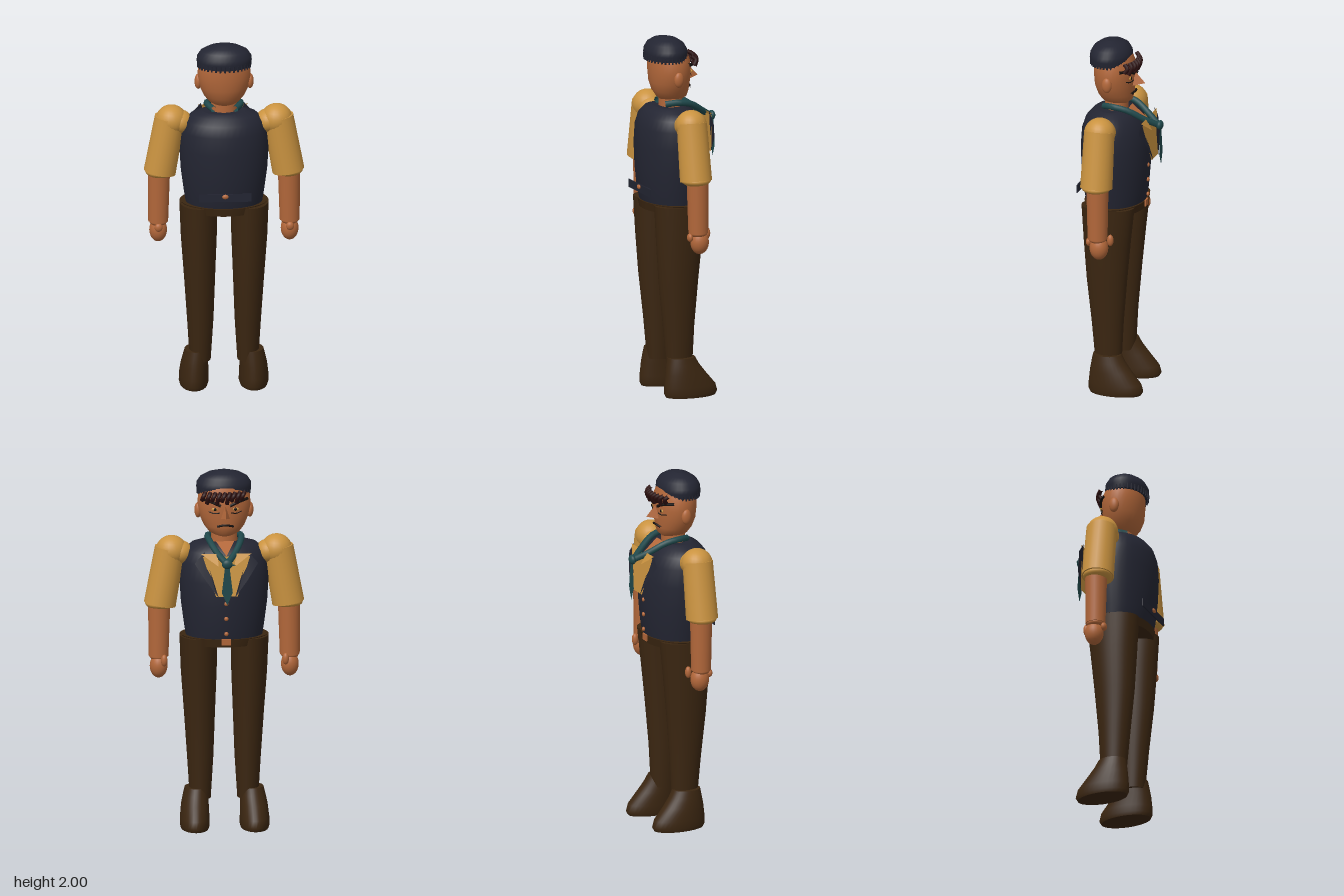
import * as THREE from 'three';

const mat = (name, color, side = THREE.FrontSide) => {
  const m = new THREE.MeshStandardMaterial({ color, side });
  m.name = name;
  return m;
};

export function createModel() {
  const root = new THREE.Group();
  root.name = 'standingMan';
  const navy = mat('navy cloth', 0x232532, THREE.DoubleSide);
  const gold = mat('gold shirt', 0xca9340, THREE.DoubleSide);
  const brown = mat('brown trousers', 0x3b2611);
  const skin = mat('skin', 0xb2673a, THREE.DoubleSide);
  const teal = mat('teal necktie', 0x1f484b, THREE.DoubleSide);
  const hair = mat('dark hair', 0x2c0f0f);
  const ink = mat('ink lines', 0x17110f);

  const add = (name, geo, material, pos = [0, 0, 0], parent = root) => {
    const m = new THREE.Mesh(geo, material);
    m.name = name;
    m.position.set(...pos);
    parent.add(m);
    return m;
  };

  // Solid through elliptical rings [y, centreX, centreZ, radiusX, radiusZ], bottom to top
  const loft = (rings, n = 32) => {
    const pos = [], idx = [];
    const ring = ([y, cx, cz, rx, rz]) => {
      for (let i = 0; i < n; i++) {
        const a = (i / n) * Math.PI * 2;
        pos.push(cx + rx * Math.cos(a), y, cz + rz * Math.sin(a));
      }
    };
    rings.forEach(ring);
    for (let k = 0; k < rings.length - 1; k++) {
      for (let i = 0; i < n; i++) {
        const a = k * n + i, b = k * n + ((i + 1) % n);
        idx.push(a, a + n, b, b, a + n, b + n);
      }
    }
    // flat end caps with their own vertices
    [rings[0], rings[rings.length - 1]].forEach((r, top) => {
      const s = pos.length / 3;
      ring(r);
      pos.push(r[1], r[0], r[2]);
      for (let i = 0; i < n; i++) {
        const j = (i + 1) % n;
        idx.push(s + n, s + (top ? j : i), s + (top ? i : j));
      }
    });
    const g = new THREE.BufferGeometry();
    g.setAttribute('position', new THREE.Float32BufferAttribute(pos, 3));
    g.setIndex(idx);
    g.computeVertexNormals();
    return g;
  };

  // Convex flat plate through a few corners
  const plate = (pts) => {
    const g = new THREE.BufferGeometry();
    g.setAttribute('position', new THREE.Float32BufferAttribute(pts.flat(), 3));
    const idx = [];
    for (let i = 1; i < pts.length - 1; i++) idx.push(0, i, i + 1);
    g.setIndex(idx);
    g.computeVertexNormals();
    return g;
  };

  const ball = (rx, ry, rz) => new THREE.SphereGeometry(1, 24, 16).scale(rx, ry, rz);
  const tube = (pts, r) => new THREE.TubeGeometry(
    new THREE.CatmullRomCurve3(pts.map((p) => new THREE.Vector3(...p))), 12, r, 8);
  const limb = (name, a, b, ra, rb, material) => {
    const A = new THREE.Vector3(...a), B = new THREE.Vector3(...b), d = B.clone().sub(A);
    const m = add(name, new THREE.CylinderGeometry(rb, ra, d.length(), 24), material,
      A.clone().add(B).multiplyScalar(0.5).toArray());
    m.quaternion.setFromUnitVectors(new THREE.Vector3(0, 1, 0), d.normalize());
  };

  // Vest and hips
  add('vest', loft([
    [1.07, 0, 0.035, 0.21, 0.16], [1.15, 0, 0.037, 0.222, 0.175], [1.27, 0, 0.038, 0.238, 0.185],
    [1.4, 0, 0.04, 0.246, 0.187], [1.5, 0, 0.045, 0.238, 0.175], [1.56, 0, 0.05, 0.218, 0.15],
    [1.595, 0, 0.05, 0.18, 0.12], [1.612, 0, 0.05, 0.12, 0.08]], 40), navy);
  add('waistband', loft([[1.04, 0, 0.035, 0.215, 0.163], [1.085, 0, 0.035, 0.24, 0.17]]), brown);
  add('backStrap', new THREE.BoxGeometry(0.29, 0.045, 0.006), navy, [0, 1.157, 0.219]);
  add('backStrapButton', ball(0.018, 0.013, 0.009), skin, [0, 1.165, 0.225]);
  for (const y of [1.29, 1.205, 1.12]) add('vestButton', ball(0.012, 0.012, 0.009), skin, [0, y, -0.146]);
  add('buckle', new THREE.BoxGeometry(0.05, 0.035, 0.009), skin, [0, 1.072, -0.137]);

  // Neck, head and cap
  add('neck', loft([[1.58, 0, 0.035, 0.075, 0.065], [1.68, 0, 0.035, 0.07, 0.063]]), skin);
  add('head', loft([
    [1.645, 0, 0.03, 0.05, 0.06], [1.665, 0, 0.03, 0.085, 0.085], [1.7, 0, 0.037, 0.112, 0.1],
    [1.75, 0, 0.043, 0.134, 0.11], [1.81, 0, 0.043, 0.147, 0.114], [1.87, 0, 0.046, 0.143, 0.113],
    [1.92, 0, 0.05, 0.12, 0.1]]), skin);
  add('cap', loft([
    [1.88, 0, 0.065, 0.146, 0.111], [1.91, 0, 0.065, 0.152, 0.115], [1.935, 0, 0.065, 0.15, 0.113],
    [1.965, 0, 0.065, 0.13, 0.096], [1.987, 0, 0.065, 0.088, 0.065], [2, 0, 0.065, 0.03, 0.022]]), navy);
  for (let i = 0; i < 36; i++) {
    const a = (i / 36) * Math.PI * 2;
    add('capRib', new THREE.CylinderGeometry(0.007, 0.005, 0.035, 6), navy,
      [0.144 * Math.cos(a), 1.888, 0.065 + 0.11 * Math.sin(a)]);
  }

  // Nose, mouth and fringe
  const noseTop = [0, 1.825, -0.075], noseTip = [0, 1.765, -0.13], noseL = [0.027, 1.75, -0.06], noseR = [-0.027, 1.75, -0.06];
  for (const side of [[noseTop, noseTip, noseL], [noseTop, noseR, noseTip], [noseTip, noseR, noseL]]) {
    add('nose', plate(side), skin);
  }
  add('mouth', tube([[0.045, 1.708, -0.062], [0, 1.718, -0.076], [-0.045, 1.708, -0.062]], 0.006), ink);
  for (let i = 0; i < 9; i++) {
    const x = -0.108 + i * 0.027, z = 0.04 - 0.12 * Math.sqrt(1 - (x / 0.155) ** 2);
    add('fringeLock', tube([[x, 1.9, z], [x + 0.012, 1.88, z - 0.018],
      [x + 0.02, 1.855 - 0.015 * (i % 2), z - 0.004]], 0.012), hair);
  }

  // Shirt front, tie and open collar
  add('shirtFront', plate([[0.13, 1.56, -0.155], [-0.13, 1.56, -0.155], [-0.06, 1.34, -0.185], [0.06, 1.34, -0.185]]), gold);
  add('throat', plate([[0.05, 1.62, -0.04], [-0.05, 1.62, -0.04], [0, 1.56, -0.15]]), skin);
  add('tieKnot', ball(0.029, 0.027, 0.018), teal, [0, 1.53, -0.215]);
  add('tieBlade', plate([[0.012, 1.52, -0.218], [0.03, 1.37, -0.22], [0, 1.3, -0.221], [-0.03, 1.37, -0.22], [-0.012, 1.52, -0.218]]), teal);
  add('tieTail', plate([[0, 1.54, -0.217], [-0.05, 1.525, -0.22], [-0.01, 1.515, -0.217]]), teal);

  // Mirrored parts
  for (const s of [1, -1]) {
    add('ear', ball(0.02, 0.043, 0.028), skin, [s * 0.143, 1.78, 0.047]);
    add('eyebrow', tube([[s * 0.025, 1.825, -0.073], [s * 0.07, 1.845, -0.064], [s * 0.125, 1.855, -0.016]], 0.008), ink);
    add('eye', ball(0.018, 0.009, 0.005), gold, [s * 0.058, 1.806, -0.063]);
    add('pupil', ball(0.008, 0.009, 0.004), ink, [s * 0.056, 1.806, -0.067]);
    add('lowerLid', tube([[s * 0.03, 1.787, -0.071], [s * 0.06, 1.782, -0.062], [s * 0.09, 1.79, -0.046]], 0.003), ink);
    add('tieBand', tube([[s * 0.06, 1.63, 0.09], [s * 0.092, 1.64, 0.03], [s * 0.085, 1.625, -0.05],
      [s * 0.045, 1.57, -0.14], [0, 1.53, -0.205]], 0.018), teal);
    add('collarPoint', plate([[s * 0.05, 1.575, -0.152], [s * 0.14, 1.575, -0.15], [s * 0.045, 1.51, -0.185]]), gold);
    add('lapel', plate([[s * 0.12, 1.585, -0.145], [s * 0.175, 1.52, -0.148], [s * 0.115, 1.43, -0.18],
      [s * 0.045, 1.335, -0.19], [s * 0.065, 1.38, -0.188]]), navy);

    // Arms
    add('shoulder', ball(0.087, 0.085, 0.087), gold, [s * 0.29, 1.555, 0.04]);
    add('innerShoulder', ball(0.07, 0.065, 0.075), gold, [s * 0.243, 1.545, 0.04]);
    limb('sleeve', [s * 0.354, 1.255, 0.04], [s * 0.298, 1.57, 0.04], 0.089, 0.084, gold);
    add('sleeveHem', ball(0.083, 0.035, 0.083), gold, [s * 0.352, 1.26, 0.04]);
    limb('forearm', [s * 0.362, 0.965, 0.03], [s * 0.358, 1.25, 0.032], 0.055, 0.061, skin);
    add('wrist', ball(0.05, 0.025, 0.05), skin, [s * 0.362, 0.963, 0.03]);
    add('hand', ball(0.049, 0.067, 0.052), skin, [s * 0.362, 0.91, 0.022]);
    add('thumb', ball(0.018, 0.033, 0.018), skin, [s * 0.335, 0.95, -0.035]);
    add('knuckle', ball(0.022, 0.024, 0.016), skin, [s * 0.362, 0.94, 0.08]);

    // Legs and shoes
    add('trouserLeg', loft([
      [0.16, s * 0.131, 0.04, 0.058, 0.073], [0.4, s * 0.131, 0.045, 0.073, 0.09],
      [0.65, s * 0.135, 0.048, 0.086, 0.114], [0.88, s * 0.139, 0.045, 0.099, 0.133],
      [1.08, s * 0.141, 0.04, 0.105, 0.15]]), brown);
    add('shoe', loft([
      [0, s * 0.165, -0.012, 0.076, 0.145], [0.02, s * 0.165, -0.013, 0.082, 0.156],
      [0.06, s * 0.165, -0.008, 0.081, 0.15], [0.13, s * 0.162, 0.018, 0.076, 0.117],
      [0.18, s * 0.157, 0.033, 0.07, 0.094], [0.22, s * 0.153, 0.04, 0.064, 0.08]]), brown);
  }
  return root;
}
